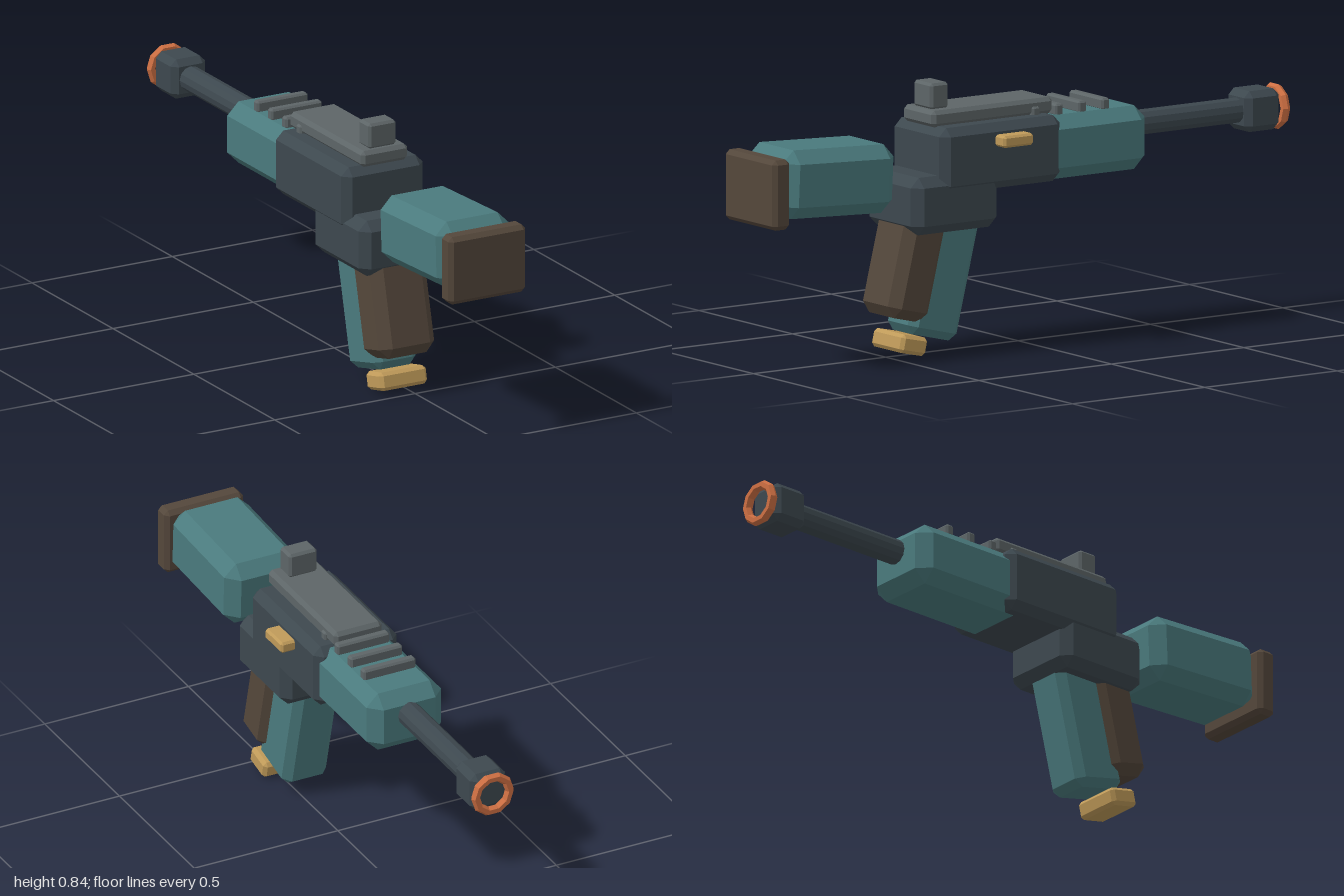
import * as THREE from 'three';
import { ConvexGeometry } from 'three/addons/geometries/ConvexGeometry.js';

const CX = -0.025; // centre line of the body

const mat = (name, color) => {
  const m = new THREE.MeshStandardMaterial({ color, flatShading: true });
  m.name = name;
  return m;
};

// Box with every edge cut at 45 degrees and triangular corners
function chamferBox(w, h, d, c) {
  const pts = [];
  for (const x of [-1, 1]) for (const y of [-1, 1]) for (const z of [-1, 1]) {
    const [a, b, e] = [w / 2, h / 2, d / 2];
    pts.push(
      new THREE.Vector3(x * a, y * (b - c), z * (e - c)),
      new THREE.Vector3(x * (a - c), y * b, z * (e - c)),
      new THREE.Vector3(x * (a - c), y * (b - c), z * e));
  }
  return new ConvexGeometry(pts);
}

export function createModel() {
  const group = new THREE.Group();
  const teal = mat('teal', 0x4a7a7d);
  const gunmetal = mat('gunmetal', 0x3d484f);
  const grey = mat('grey', 0x5d6567);
  const brown = mat('brown', 0x54473b);
  const brass = mat('brass', 0xbf9a59);
  const orange = mat('orange', 0xcf7043);

  function add(name, geometry, material, [x, y, z], tilt = 0) {
    const mesh = new THREE.Mesh(geometry, material);
    mesh.name = name;
    mesh.position.set(x, y, z);
    mesh.rotation.x = tilt;
    group.add(mesh);
  }
  const box = (name, material, [w, h, d], c, pos, tilt) =>
    add(name, chamferBox(w, h, d, c), material, pos, tilt);

  // Body
  box('receiver', gunmetal, [0.29, 0.207, 0.455], 0.026, [CX, 0.615, 0.137]);
  box('lowerReceiver', gunmetal, [0.28, 0.18, 0.325], 0.03, [CX, 0.481, 0.303]);
  box('forend', teal, [0.26, 0.2, 0.44], 0.04, [CX, 0.611, -0.212]);

  // Shoulder stock
  box('stock', teal, [0.262, 0.215, 0.42], 0.04, [CX, 0.587, 0.73], -0.045);
  box('buttPad', brown, [0.275, 0.22, 0.065], 0.014, [CX, 0.574, 0.967]);

  // Raked grip, magazine and its foot
  box('grip', brown, [0.197, 0.36, 0.157], 0.032, [CX, 0.295, 0.41], -0.24);
  box('magazine', teal, [0.155, 0.4, 0.19], 0.025, [CX, 0.248, 0.303], -0.24);
  box('magazineFoot', brass, [0.167, 0.058, 0.1], 0.011, [CX, 0.04, 0.43], -0.22);

  // Top rail, sight and cooling ridges
  box('topRail', grey, [0.167, 0.052, 0.456], 0.012, [CX, 0.741, 0.134]);
  box('rearSight', grey, [0.098, 0.082, 0.068], 0.008, [CX, 0.806, 0.311]);
  for (let i = 0; i < 4; i++) {
    box('ridge', grey, [0.181, 0.038, 0.03], 0.006, [CX, 0.725, -0.024 - i * 0.0877]);
  }

  // Side handle
  box('boltHandle', brass, [0.08, 0.037, 0.112], 0.007, [0.127, 0.666, 0.113]);

  // Barrel, muzzle block and ring
  const barrel = new THREE.CylinderGeometry(0.04, 0.04, 0.5, 12).rotateX(Math.PI / 2);
  add('barrel', barrel, gunmetal, [CX, 0.636, -0.63]);
  box('muzzleBlock', gunmetal, [0.123, 0.128, 0.13], 0.02, [CX, 0.635, -0.907]);
  add('muzzleRing', new THREE.TorusGeometry(0.059, 0.015, 6, 10), orange, [CX, 0.635, -0.986]);

  return group;
}
